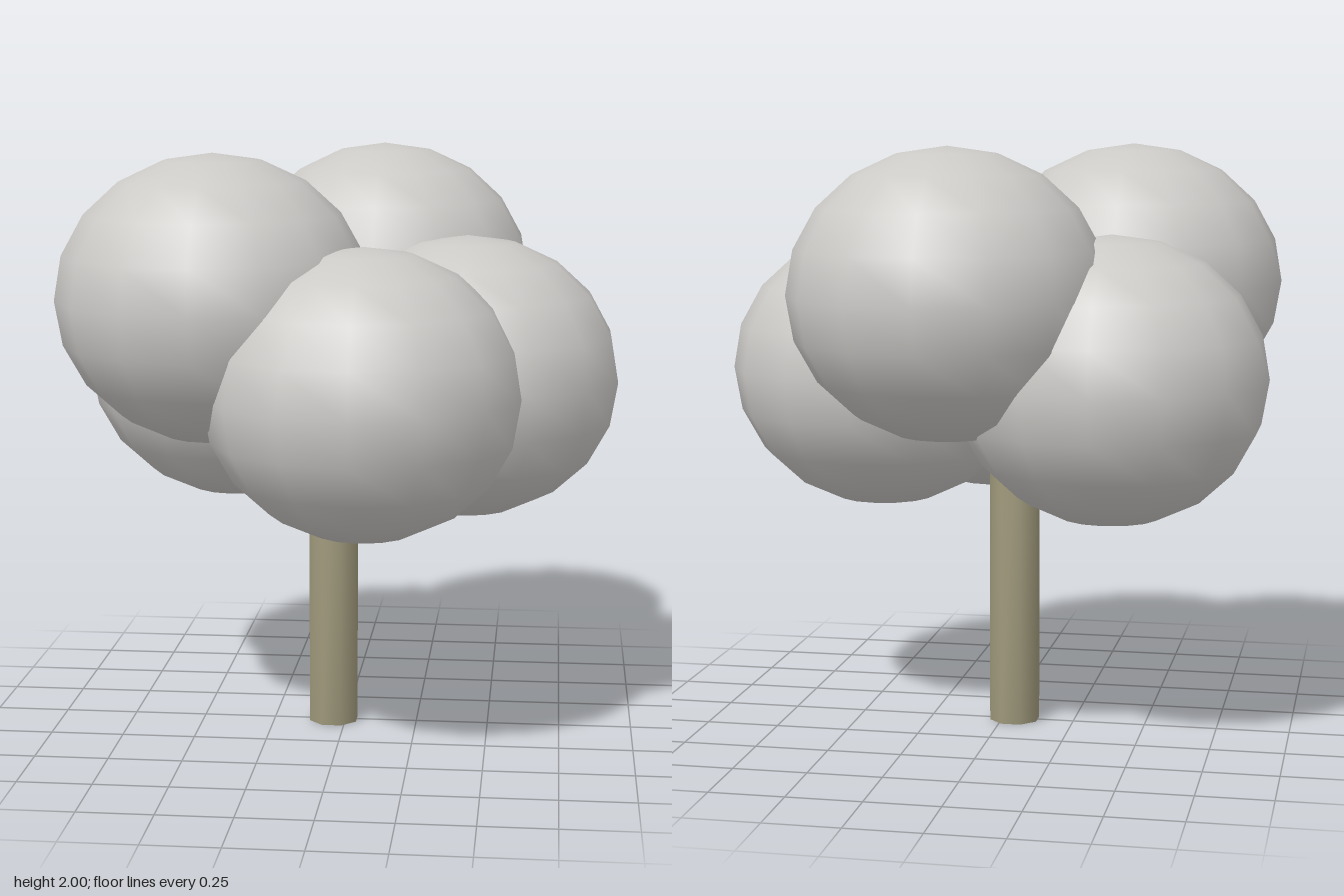
import * as THREE from 'three';
import { mergeVertices } from 'three/addons/utils/BufferGeometryUtils.js';

export function createModel() {
  const tree = new THREE.Group();
  tree.name = 'tree';
  const foliageGrey = new THREE.MeshStandardMaterial({ color: 0xcccac7 });
  foliageGrey.name = 'foliageGrey';
  const barkKhaki = new THREE.MeshStandardMaterial({ color: 0xa09a7c });
  barkKhaki.name = 'barkKhaki';

  const axisX = -0.042; // trunk axis, slightly off centre

  // Trunk: eight sides, normals smoothed over the end caps as well
  const height = 1.24;
  let bark = new THREE.CylinderGeometry(0.088, 0.088, height, 8);
  bark.rotateY(Math.PI / 8);
  bark.deleteAttribute('normal');
  bark.deleteAttribute('uv');
  bark = mergeVertices(bark);
  bark.computeVertexNormals();
  const trunk = new THREE.Mesh(bark, barkKhaki);
  trunk.name = 'trunk';
  trunk.position.set(axisX, height / 2, 0);
  tree.add(trunk);

  // Foliage: five slightly flattened balls in a ring, two of them raised
  const ball = new THREE.SphereGeometry(0.523, 14, 10);
  ball.rotateY(Math.PI / 2);
  ball.scale(1, 0.478 / 0.523, 1);
  const crown = new THREE.Group();
  crown.name = 'crown';
  const ringRadius = 0.457;
  const low = 1.236, high = 1.522;
  [low, low, high, low, high].forEach((y, i) => {
    const angle = (i * Math.PI * 2) / 5;
    const clump = new THREE.Mesh(ball, foliageGrey);
    clump.name = `foliageBall${i + 1}`;
    clump.position.set(axisX + ringRadius * Math.cos(angle), y, ringRadius * Math.sin(angle));
    crown.add(clump);
  });
  tree.add(crown);
  return tree;
}
